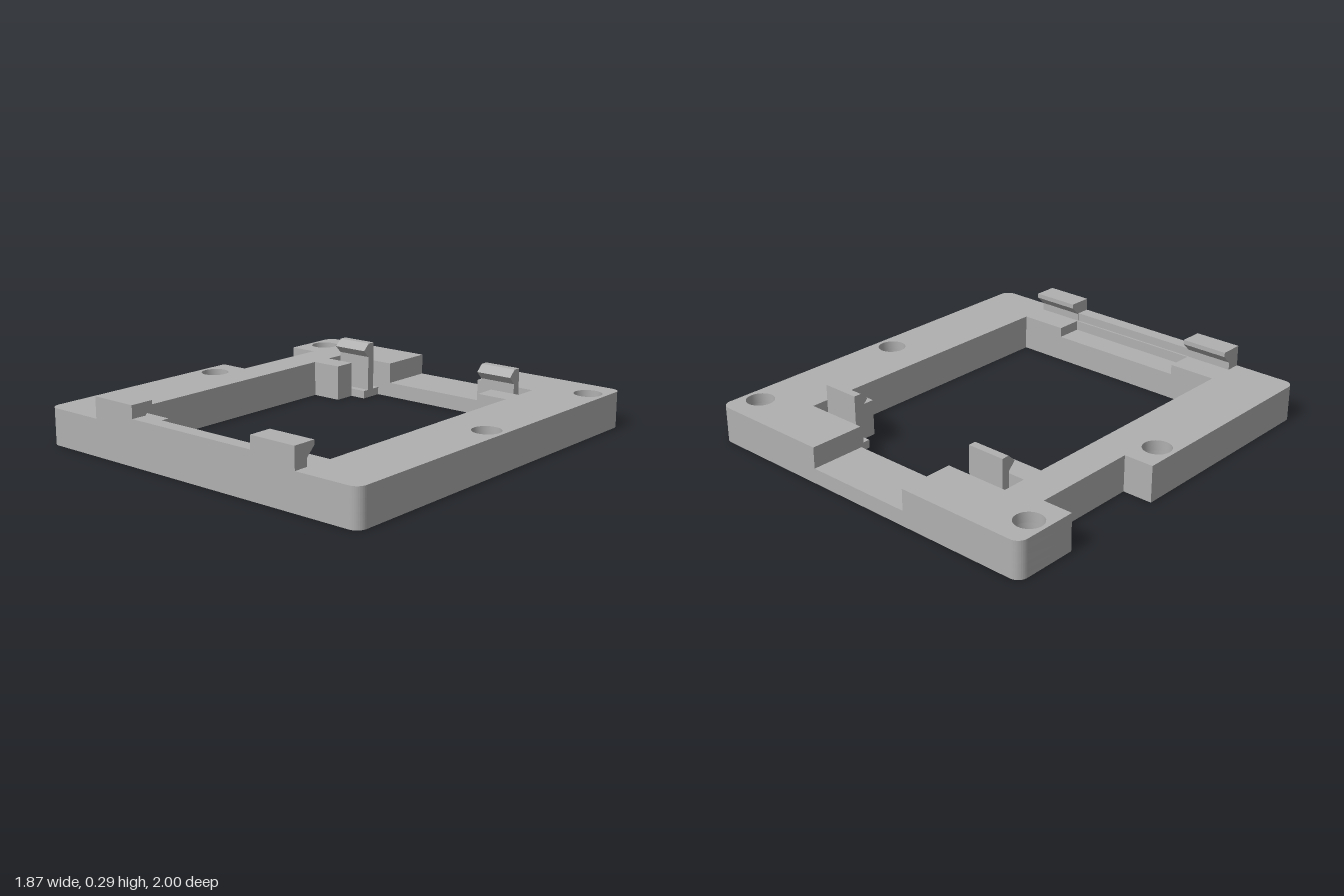
import * as THREE from 'three';
import { mergeGeometries, toCreasedNormals } from 'three/addons/utils/BufferGeometryUtils.js';

const grey = new THREE.MeshStandardMaterial({ color: 0xb0b0b0 });
grey.name = 'grey plastic';

// Heights of the frame's floors and top
const POCKET = 0.04, RECESS = 0.075, LEDGE = 0.13, TOP = 0.18;
const SEG = 12;

// Shapes are drawn with shape y = -z, then laid flat
const flat = (g, y) => g.rotateX(-Math.PI / 2).translate(0, y, 0);
const polygon = (pts) => new THREE.Shape(pts.map(([x, z]) => new THREE.Vector2(x, -z)));
const rect = (x0, x1, z0, z1) => polygon([[x0, z0], [x1, z0], [x1, z1], [x0, z1]]);

// Half of the opening, from the back middle round to the front middle
function halfOpening(pockets, ledge) {
  const pts = [[0.28, -0.72]];
  if (pockets) pts.push([0.605, -0.72], [0.605, -0.6]);
  else pts.push([0.36, -0.72], [0.36, -0.6]);
  pts.push([0.445, -0.6], [0.445, -0.49], [0.605, -0.49], [0.605, 0.785]);
  if (ledge) pts.push([0.36, 0.785], [0.36, 0.92]);
  return pts;
}

// Plan of the frame at one level
function plan({ pockets = false, recess = false, ledge = false }) {
  const half = halfOpening(pockets, ledge);
  const opening = [...half.map(([x, z]) => [-x, z]), ...half.slice().reverse()];
  const s = new THREE.Shape();
  const W = 0.935, r = 0.05, c = W - r, d = 1 - r, q = Math.PI / 2;
  s.moveTo(0.28, 1);
  s.lineTo(c, 1);
  s.absarc(c, d, r, q, 0, true);
  s.lineTo(W, -d);
  s.absarc(c, -d, r, 0, -q, true);
  s.lineTo(-c, -1);
  s.absarc(-c, -d, r, -q, -2 * q, true);
  // side cut-out
  for (const [x, z] of [[-W, -0.14], [-0.785, -0.14], [-0.785, -0.68], [-W, -0.68], [-W, -d]]) s.lineTo(x, -z);
  s.absarc(-c, d, r, 2 * q, q, true);
  s.lineTo(-0.28, 1);
  // the back recess opens the ring; otherwise the opening is a hole
  if (recess) {
    for (const [x, z] of opening) s.lineTo(x, -z);
    s.lineTo(0.28, 1);
  } else {
    s.holes.push(polygon(opening));
  }
  // screw holes
  for (const x of [-0.845, 0.845]) {
    for (const z of [-0.84, 0.015]) {
      s.holes.push(new THREE.Path().absarc(x, -z, 0.069, 0, Math.PI * 2, false));
    }
  }
  return s;
}

// Side walls only, between two heights
function walls(shape, y0, y1) {
  const g = new THREE.ExtrudeGeometry(shape, { depth: y1 - y0, bevelEnabled: false, curveSegments: SEG });
  const { start, count } = g.groups[1];
  const out = new THREE.BufferGeometry();
  const pos = g.attributes.position.array.slice(start * 3, (start + count) * 3);
  out.setAttribute('position', new THREE.BufferAttribute(pos, 3));
  return toCreasedNormals(flat(out, y0), 0.6);
}

// Flat face at one height
function face(shape, y, down = false) {
  const g = flat(new THREE.ShapeGeometry(shape, SEG), y);
  if (down) {
    g.index.array.reverse();
    g.computeVertexNormals();
  }
  g.deleteAttribute('uv');
  return g.toNonIndexed();
}

// A [z, y] profile swept along x
function sweep(profile, x0, x1) {
  const s = new THREE.Shape(profile.map(([z, y]) => new THREE.Vector2(-z, y)));
  return new THREE.ExtrudeGeometry(s, { depth: x1 - x0, bevelEnabled: false })
    .rotateY(Math.PI / 2).translate(x0, 0, 0);
}

export function createModel() {
  const group = new THREE.Group();
  const add = (name, geometry) => {
    const m = new THREE.Mesh(geometry, grey);
    m.name = name;
    group.add(m);
  };

  // Frame: stacked wall levels, closed by the flat faces
  const base = plan({});
  const top = plan({ pockets: true, recess: true, ledge: true });
  add('frame', mergeGeometries([
    walls(base, 0, POCKET),
    walls(plan({ pockets: true }), POCKET, RECESS),
    walls(plan({ pockets: true, recess: true }), RECESS, LEDGE),
    walls(top, LEDGE, TOP),
    face(base, 0, true),
    face(top, TOP),
  ]));
  add('backRecessFloor', face(rect(-0.28, 0.28, -1, -0.72), RECESS));
  add('frontLedge', face(rect(-0.36, 0.36, 0.785, 0.92), LEDGE));
  add('leftPocketFloor', face(rect(0.36, 0.605, -0.72, -0.6), POCKET));
  add('rightPocketFloor', face(rect(-0.605, -0.36, -0.72, -0.6), POCKET));

  // Low lip between the front hooks
  add('frontLip', sweep([[1, TOP], [1, 0.222], [0.93, 0.222], [0.93, TOP]], -0.36, 0.36));

  // Fixed front hooks and tall back clips
  const hook = [[1, TOP], [1, 0.285], [0.882, 0.285], [0.882, 0.262], [0.927, 0.218], [0.927, TOP]];
  const clip = [[-0.677, POCKET], [-0.635, POCKET], [-0.635, 0.218], [-0.6, 0.255],
    [-0.638, 0.29], [-0.677, 0.29]];
  for (const [side, sign] of [['left', 1], ['right', -1]]) {
    const span = (a, b) => (sign > 0 ? [a, b] : [-b, -a]);
    add(side + 'FrontHook', sweep(hook, ...span(0.36, 0.605)));
    add(side + 'BackClip', sweep(clip, ...span(0.36, 0.553)));
  }
  return group;
}
